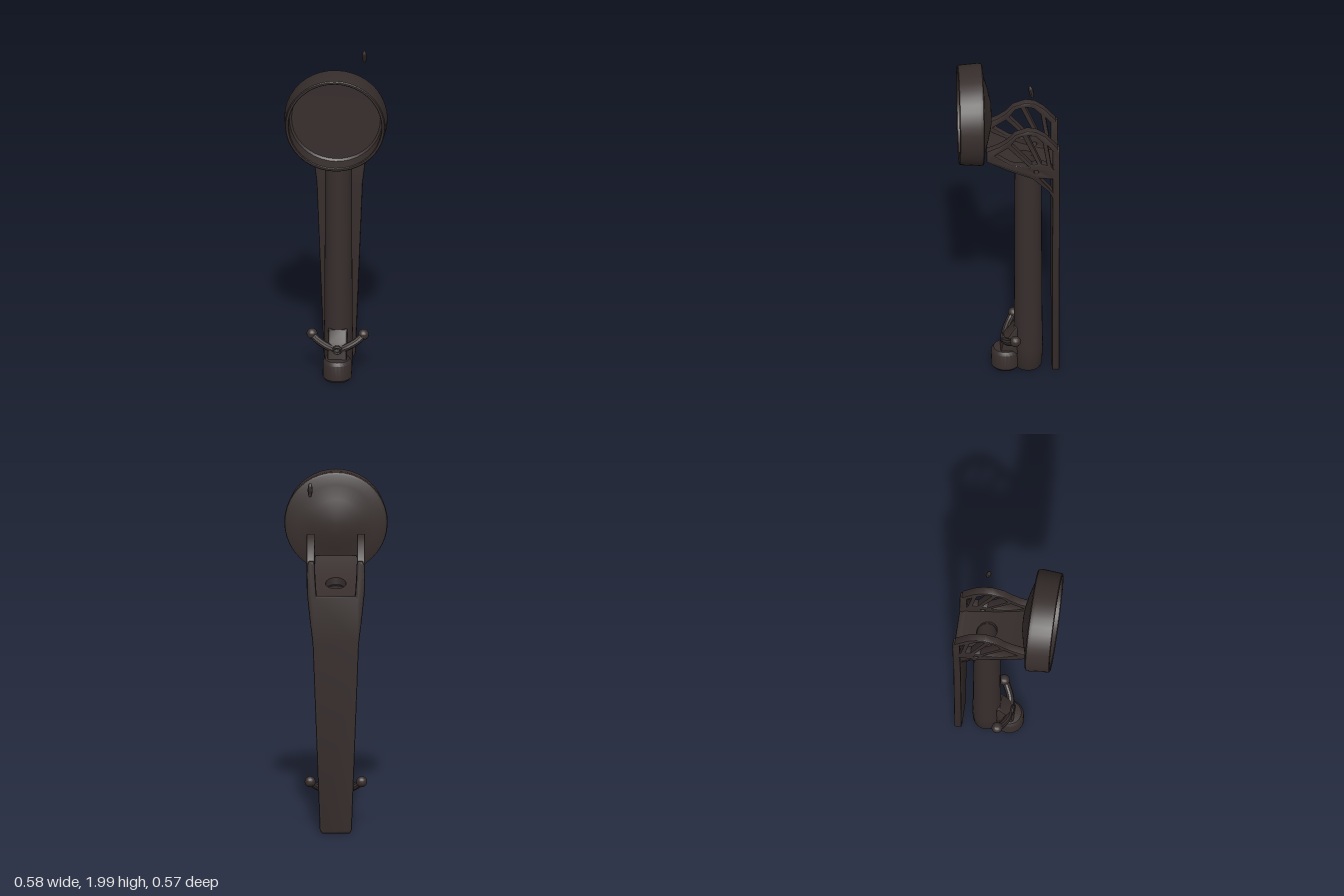
import * as THREE from 'three';
import { toCreasedNormals } from 'three/addons/utils/BufferGeometryUtils.js';

const v2 = (pts) => pts.map(([a, b]) => new THREE.Vector2(a, b));

export function createModel() {
  const model = new THREE.Group();
  const dark = new THREE.MeshStandardMaterial({ color: 0x372e2d });
  dark.name = 'dark brown';

  const add = (name, geometry, x = 0, y = 0, z = 0) => {
    const mesh = new THREE.Mesh(toCreasedNormals(geometry, 0.6), dark);
    mesh.name = name;
    mesh.position.set(x, y, z);
    model.add(mesh);
    return mesh;
  };
  const extrude = (outline, holes, depth, bevel) => {
    const shape = new THREE.Shape(v2(outline));
    holes.forEach((h) => shape.holes.push(new THREE.Path(v2(h))));
    return new THREE.ExtrudeGeometry(shape, {
      depth: depth - 2 * bevel, bevelEnabled: true, bevelThickness: bevel,
      bevelSize: bevel, bevelOffset: -bevel, bevelSegments: 2,
    }).translate(0, 0, bevel);
  };

  // Round dish: domed back, thin rim, recessed front
  const dish = new THREE.LatheGeometry(v2([
    [0, 0.095], [0.07, 0.1], [0.14, 0.115], [0.22, 0.138], [0.275, 0.143], [0.288, 0.15],
    [0.291, 0.17], [0.282, 0.28], [0.277, 0.285], [0.266, 0.285], [0.262, 0.28],
    [0.262, 0.19], [0.25, 0.18], [0, 0.175],
  ]), 40).rotateX(Math.PI / 2);
  add('dish', dish, 0, 1.706, 0);

  // Hollow post, flared at the foot
  add('post', new THREE.LatheGeometry(v2([
    [0.056, 0.01], [0.07, 0.005], [0.078, 0.02], [0.083, 0.15], [0.08, 0.3],
    [0.077, 0.8], [0.076, 1.385], [0.056, 1.385], [0.056, 0.01],
  ]), 28), 0, 0, -0.11);

  // Short front foot with a recess underneath
  add('frontFoot', new THREE.LatheGeometry(v2([
    [0, 0.03], [0.05, 0.03], [0.055, 0.01], [0.072, 0.005], [0.083, 0.02],
    [0.081, 0.11], [0.068, 0.128], [0, 0.138],
  ]), 24), 0, 0, 0.017);
  add('footWebLeftRight', extrude([
    [-0.055, 0.1], [0.055, 0.1], [0.045, 0.14], [0.032, 0.2], [0.005, 0.222], [-0.03, 0.28], [-0.055, 0.29],
  ], [], 0.11, 0.015).rotateY(-Math.PI / 2), 0.055, 0, 0).name = 'footWeb';
  add('eyelet', new THREE.TorusGeometry(0.02, 0.01, 8, 16), 0, 0.185, 0.035);

  // Curved arms with knobs
  for (const s of [-1, 1]) {
    const path = new THREE.CatmullRomCurve3([
      new THREE.Vector3(0, 0.175, 0.02), new THREE.Vector3(s * 0.06, 0.2, 0.015),
      new THREE.Vector3(s * 0.115, 0.228, -0.01), new THREE.Vector3(s * 0.145, 0.255, -0.03),
    ]);
    add('arm', new THREE.TubeGeometry(path, 14, 0.021, 10));
    add('armKnob', new THREE.SphereGeometry(0.031, 14, 10), s * 0.145, 0.255, -0.032);
  }

  // Tapered back plate with two prongs at the top
  const half = [[0.078, 0.01], [0.09, 0.03], [0.13, 1.1], [0.148, 1.25], [0.163, 1.4],
    [0.163, 1.55], [0.15, 1.575], [0.125, 1.575], [0.117, 1.55], [0.115, 1.375]];
  const mirrored = half.map(([x, y]) => [-x, y]).reverse();
  add('backPlate', extrude([...half, ...mirrored], [], 0.042, 0.009), 0, 0, -0.283);

  // Pierced side frames
  const frameOutline = [
    [0.13, 1.49], [0.13, 1.56], [0.06, 1.59], [0.01, 1.625], [-0.03, 1.67], [-0.1, 1.695],
    [-0.15, 1.687], [-0.2, 1.655], [-0.27, 1.575], [-0.283, 1.5], [-0.283, 1.2], [-0.25, 1.2],
    [-0.22, 1.27], [-0.13, 1.365], [-0.04, 1.405], [0.02, 1.43],
  ];
  const hub = [];
  for (let i = 0; i < 10; i++) {
    const a = i * Math.PI / 5;
    hub.push([-0.15 + 0.014 * Math.cos(a), 1.415 + 0.011 * Math.sin(a)]);
  }
  const frameHoles = [
    [[0.085, 1.53], [0.01, 1.58], [-0.11, 1.45], [-0.01, 1.465]],
    [[-0.01, 1.6], [-0.04, 1.645], [-0.072, 1.658], [-0.155, 1.47], [-0.125, 1.465]],
    [[-0.1, 1.665], [-0.145, 1.655], [-0.185, 1.615], [-0.21, 1.46], [-0.18, 1.47]],
    [[-0.215, 1.59], [-0.247, 1.55], [-0.247, 1.43], [-0.235, 1.45]],
    [[-0.247, 1.265], [-0.247, 1.36], [-0.17, 1.37]],
    hub,
  ];
  for (const s of [-1, 1]) {
    const g = extrude(frameOutline, frameHoles, 0.045, 0.006)
      .rotateY(-Math.PI / 2).translate(0.0225, 0, 0);
    const p = g.attributes.position;
    // Lean the lower strut inward to follow the plate
    for (let i = 0; i < p.count; i++) {
      p.setX(i, p.getX(i) + s * (0.1415 - Math.max(0, 1.4 - p.getY(i)) * 0.11));
    }
    add('sideFrame', g);
  }

  // Curved deck with a hole above the post, built as rings around the hole
  const N = 56;
  const section = [[0, 0], [0.25, 0], [0.5, 0], [0.75, 0], [1, 0], [1, 1], [0.75, 1], [0.5, 1], [0.25, 1], [0, 1]];
  const M = section.length;
  const pos = [];
  const index = [];
  for (let i = 0; i < N; i++) {
    const a = i / N * Math.PI * 2;
    const c = Math.cos(a), sn = Math.sin(a);
    const outer = Math.min(0.125 / Math.max(Math.abs(c), 1e-6), (sn > 0 ? 0.235 : 0.16) / Math.max(Math.abs(sn), 1e-6));
    section.forEach(([f, low], j) => {
      const r = 0.058 + f * (outer - 0.058);
      const z = -0.11 + sn * r;
      const t = (z + 0.28) / 0.4;
      pos.push(c * r, 1.37 + 0.06 * t + 0.09 * t * t - low * 0.04, z);
      const k = (j + 1) % M, n = (i + 1) % N;
      index.push(i * M + j, n * M + j, i * M + k, n * M + j, n * M + k, i * M + k);
    });
  }
  const deck = new THREE.BufferGeometry();
  deck.setAttribute('position', new THREE.Float32BufferAttribute(pos, 3));
  deck.setIndex(index);
  add('deck', deck);

  // Small loose chip above the frame
  const chip = add('chip', new THREE.SphereGeometry(1, 8, 6), 0.145, 1.95, -0.122);
  chip.scale.set(0.014, 0.042, 0.014);
  chip.rotation.x = 0.2;

  return model;
}
